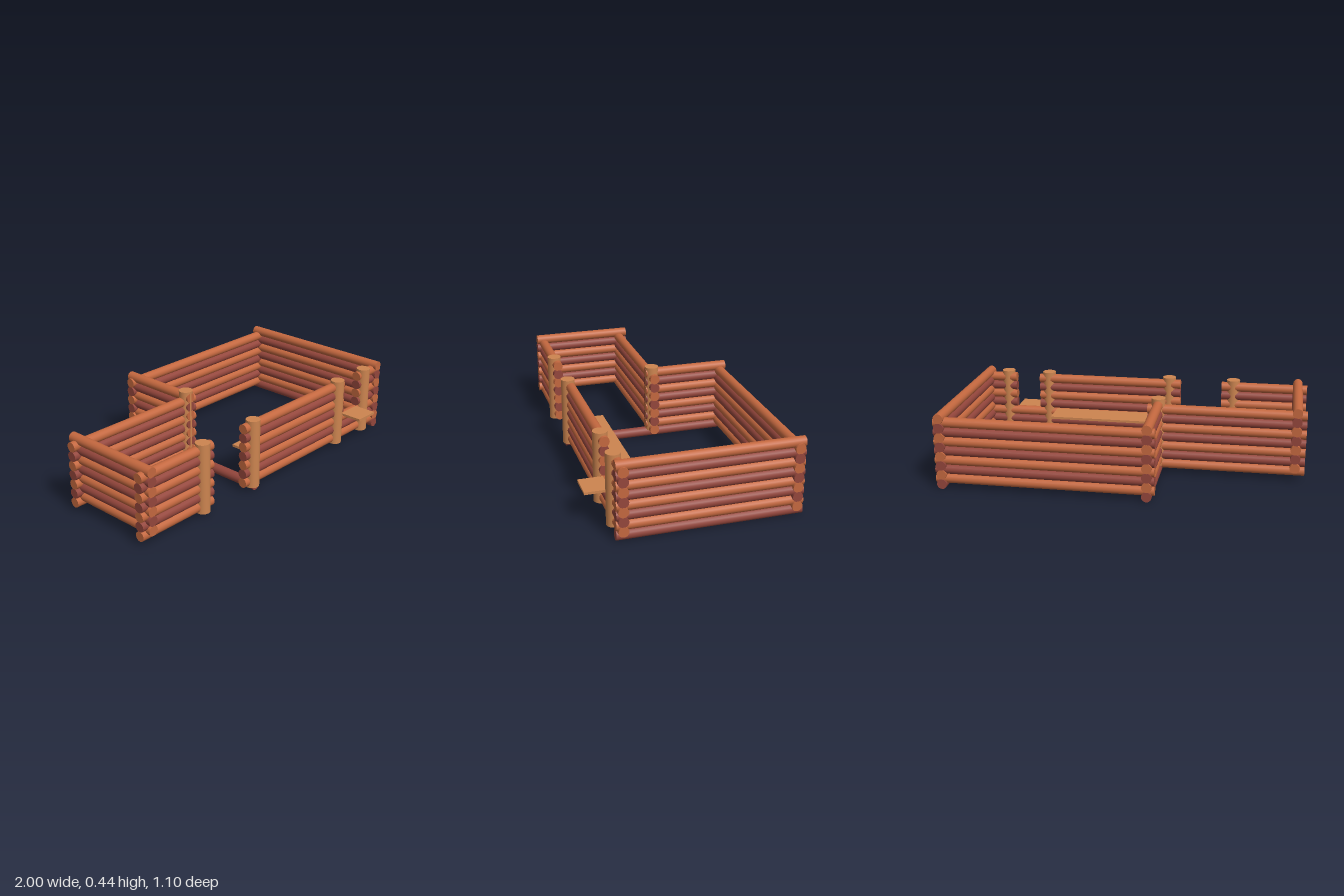
import * as THREE from 'three';

const R = 0.028;      // log radius
const STEP = 0.0538;  // height of one log course
const POST_R = 0.04;

const material = (name, color) => {
  const m = new THREE.MeshStandardMaterial({ color });
  m.name = name;
  return m;
};

export function createModel() {
  const model = new THREE.Group();
  const lightLog = material('light log', 0xc4683f);
  const darkLog = material('dark log', 0x94463c);
  const plank = material('plank wood', 0xcd8550);

  function log(parent, axis, fixed, from, to, y, mat) {
    const mesh = new THREE.Mesh(new THREE.CylinderGeometry(R, R, to - from, 20), mat);
    const mid = (from + to) / 2;
    if (axis === 'x') {
      mesh.rotation.z = Math.PI / 2;
      mesh.position.set(mid, y, fixed);
    } else {
      mesh.rotation.x = Math.PI / 2;
      mesh.position.set(fixed, y, mid);
    }
    mesh.name = 'log';
    parent.add(mesh);
  }

  // Courses of x and z walls interlock, half a log diameter apart in height
  function wall(name, axis, fixed, from, to, first, last) {
    const group = new THREE.Group();
    group.name = name;
    for (let i = first; i <= last; i++) {
      const y = (axis === 'x' ? 0.056 : 0.029) + i * STEP;
      const isLight = (i % 2 === 0) === (axis === 'x');
      log(group, axis, fixed, from, to, y, isLight ? lightLog : darkLog);
    }
    model.add(group);
  }

  // Main room
  wall('backWall', 'x', -0.515, -0.21, 1.0, 0, 6);
  wall('leftWall', 'z', 0.965, -0.55, 0.437, 0, 7);
  wall('dividingWall', 'z', -0.17, -0.55, -0.054, 1, 7);
  wall('thresholdLog', 'z', -0.17, -0.55, 0.437, 0, 0);

  // Front wall with a serving window above the third course
  wall('frontWallBase', 'x', 0.402, -0.24, 1.0, 0, 2);
  wall('frontWallMain', 'x', 0.402, -0.24, 0.64, 3, 6);
  wall('frontWallCorner', 'x', 0.402, 0.79, 1.0, 3, 6);

  // Porch
  wall('porchBackWall', 'x', -0.097, -1.0, -0.11, 0, 6);
  wall('porchSideWall', 'z', -0.945, -0.145, 0.445, 1, 7);
  wall('porchFrontWall', 'x', 0.402, -1.0, -0.49, 0, 6);

  // Upright posts
  const postGeometry = new THREE.CylinderGeometry(POST_R, POST_R, 0.398, 20);
  const posts = [[-0.56, 0.221, 0.412], [-0.17, 0.221, 0.412], [0.585, 0.221, 0.412],
    [0.845, 0.221, 0.412], [-0.17, 0.244, -0.093]];
  for (const p of posts) {
    const post = new THREE.Mesh(postGeometry, plank);
    post.name = 'post';
    post.position.set(...p);
    model.add(post);
  }

  // Indoor bench and window shelf
  function board(name, x0, x1, z0, z1) {
    const mesh = new THREE.Mesh(new THREE.BoxGeometry(x1 - x0, 0.014, z1 - z0), plank);
    mesh.name = name;
    mesh.position.set((x0 + x1) / 2, 0.182, (z0 + z1) / 2);
    model.add(mesh);
  }
  board('bench', -0.12, 0.535, 0.22, 0.39);
  board('windowShelf', 0.64, 0.79, 0.402, 0.548);

  return model;
}
